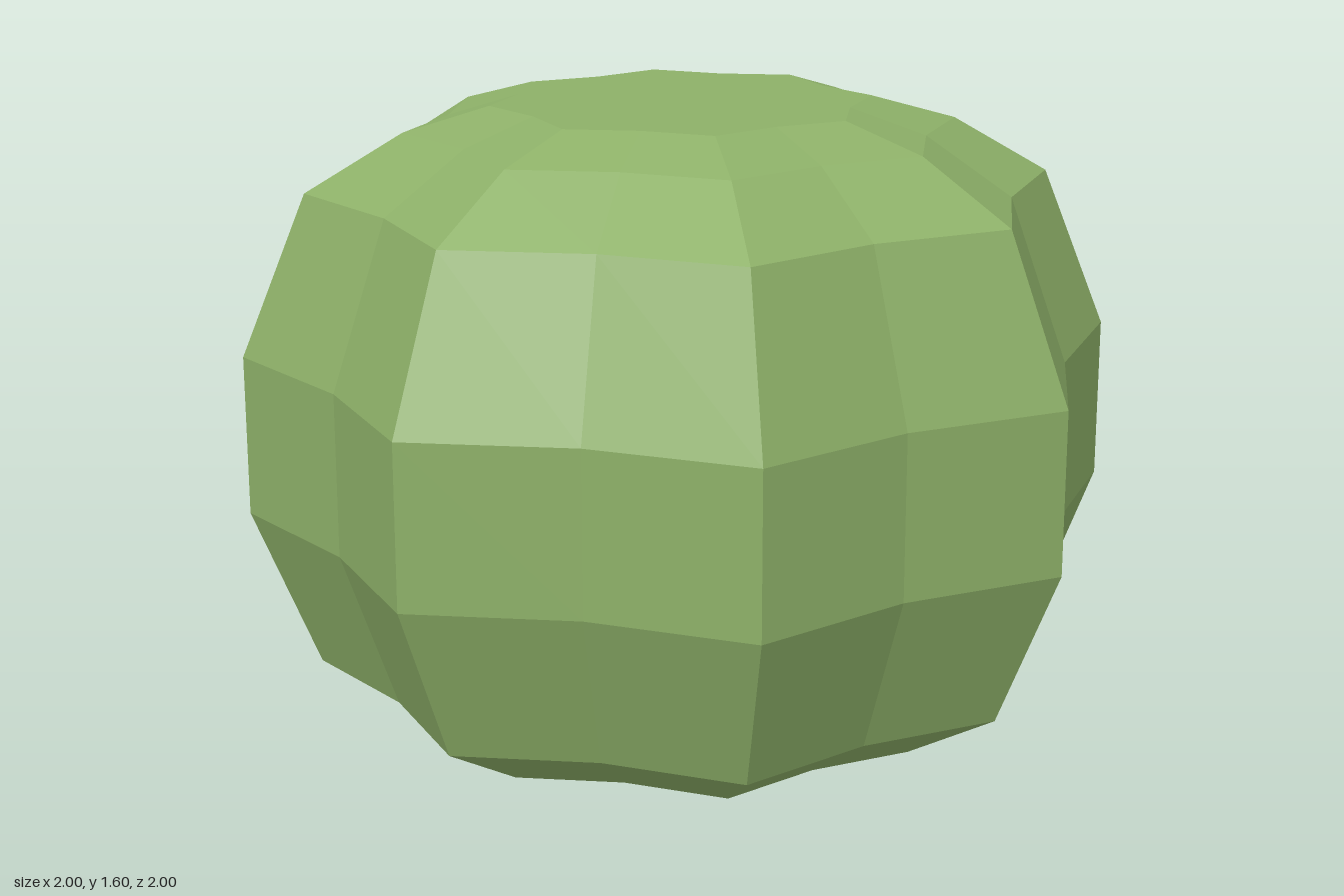
import * as THREE from 'three';

export function createModel() {
  const group = new THREE.Group();
  group.name = 'ribbedBody';

  // Profile from the bottom centre to the top centre: [scale, height]
  const profile = [
    [0, 0], [0.435, 0], [0.63, 0.06], [0.85, 0.2], [1, 0.6],
    [1, 1], [0.85, 1.4], [0.63, 1.54], [0.435, 1.6], [0, 1.6],
  ].map(([r, y]) => new THREE.Vector2(r, y));

  // Eight ribs: sixteen columns alternating between valley and ridge radius
  const valley = 0.95, ridge = 1.0824;
  const geometry = new THREE.LatheGeometry(profile, 16);
  const pos = geometry.attributes.position;
  for (let k = 0; k < pos.count; k++) {
    const column = Math.floor(k / profile.length);
    const s = column % 2 ? ridge : valley;
    pos.setXYZ(k, pos.getX(k) * s, pos.getY(k), pos.getZ(k) * s);
  }
  geometry.computeVertexNormals();

  const material = new THREE.MeshStandardMaterial({ color: 0x8db068, flatShading: true });
  const body = new THREE.Mesh(geometry, material);
  body.name = 'body';
  group.add(body);
  return group;
}
